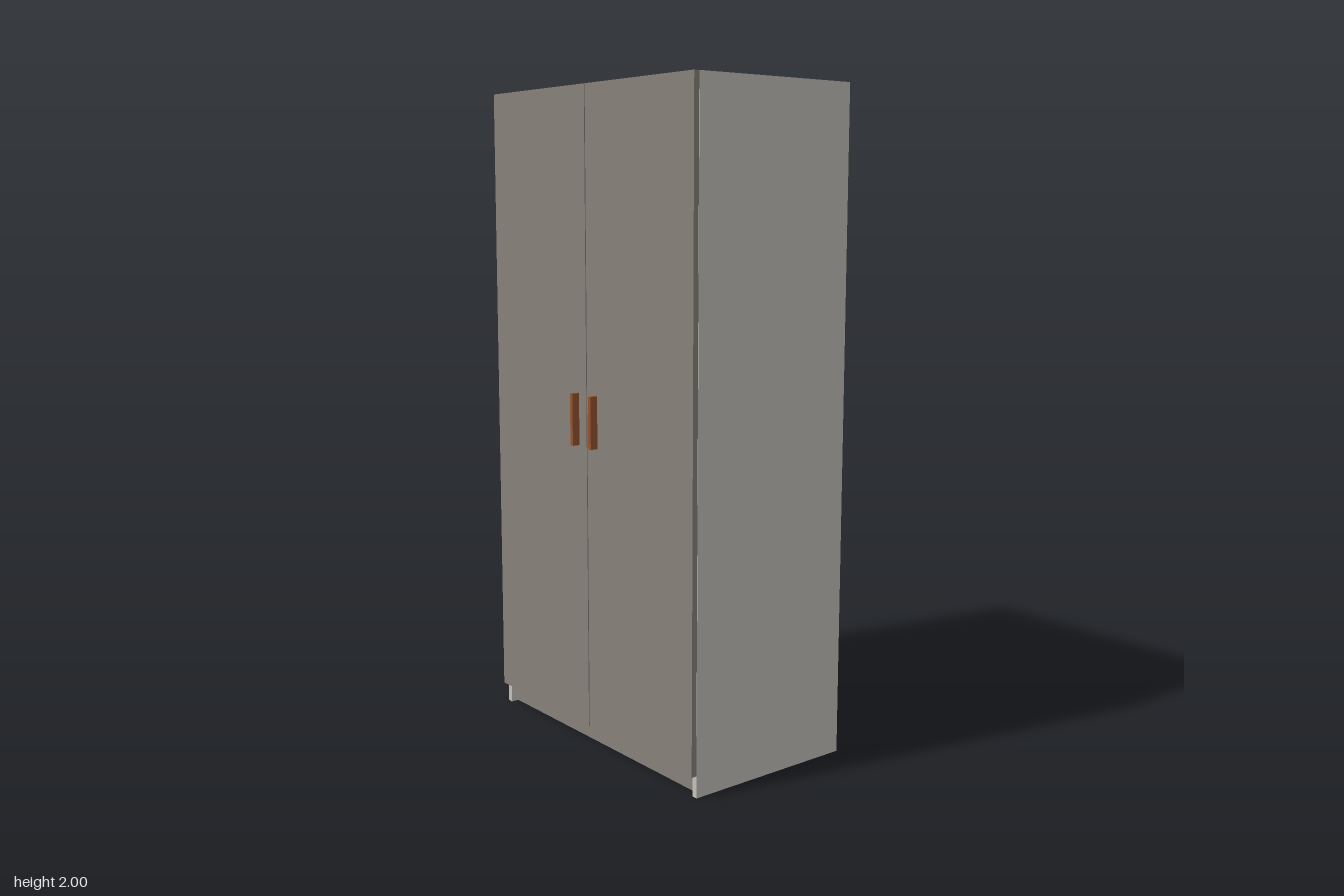
import * as THREE from 'three';

export function createModel() {
  const wardrobe = new THREE.Group();
  wardrobe.name = 'wardrobe';

  const paint = (name, color) => {
    const m = new THREE.MeshStandardMaterial({ color });
    m.name = name;
    return m;
  };
  const carcass = paint('pale grey board', 0xc5c2bb);
  const front = paint('taupe board', 0x88817b);
  const copper = paint('copper brown', 0x95542f);

  // Box given by its extents along each axis
  const board = (name, material, [x0, x1], [y0, y1], [z0, z1], parent = wardrobe) => {
    const mesh = new THREE.Mesh(new THREE.BoxGeometry(x1 - x0, y1 - y0, z1 - z0), material);
    mesh.position.set((x0 + x1) / 2, (y0 + y1) / 2, (z0 + z1) / 2);
    mesh.name = name;
    parent.add(mesh);
    return mesh;
  };

  const W = 0.497, T = 0.018, inner = W - T;
  const back = -0.3, face = 0.257;
  const across = [-inner, inner];

  // Carcass: top, floor, shelf and slightly inset back
  board('topPanel', carcass, across, [2 - T, 2], [back, face]);
  board('floorPanel', carcass, across, [0.058, 0.076], [back + 0.016, face]);
  board('shelf', carcass, across, [1.675, 1.693], [back + 0.016, face - 0.02]);
  board('backPanel', carcass, across, [0, 2 - T], [back + 0.01, back + 0.016]);

  // Recessed plinth below the doors
  board('plinth', front, across, [0, 0.058], [face - 0.043, face - 0.025]);

  // Hanging rail inside
  const rail = new THREE.Mesh(new THREE.CylinderGeometry(0.012, 0.012, inner * 2, 16), carcass);
  rail.rotation.z = Math.PI / 2;
  rail.position.set(0, 1.61, -0.02);
  rail.name = 'hangingRail';
  wardrobe.add(rail);

  // Side panels, doors and handles, mirrored
  for (const s of [-1, 1]) {
    const side = s > 0 ? 'left' : 'right';
    const span = (a, b) => (s > 0 ? [a, b] : [-b, -a]);
    board(side + 'SidePanel', carcass, span(inner, W), [0, 2], [back, face]);
    const door = new THREE.Group();
    door.name = side + 'Door';
    wardrobe.add(door);
    board(side + 'DoorPanel', front, span(0.002, W), [0.066, 2], [face + 0.001, 0.275], door);
    board(side + 'Handle', copper, span(0.04, 0.053), [0.94, 1.098], [0.275, 0.299], door);
  }

  return wardrobe;
}
